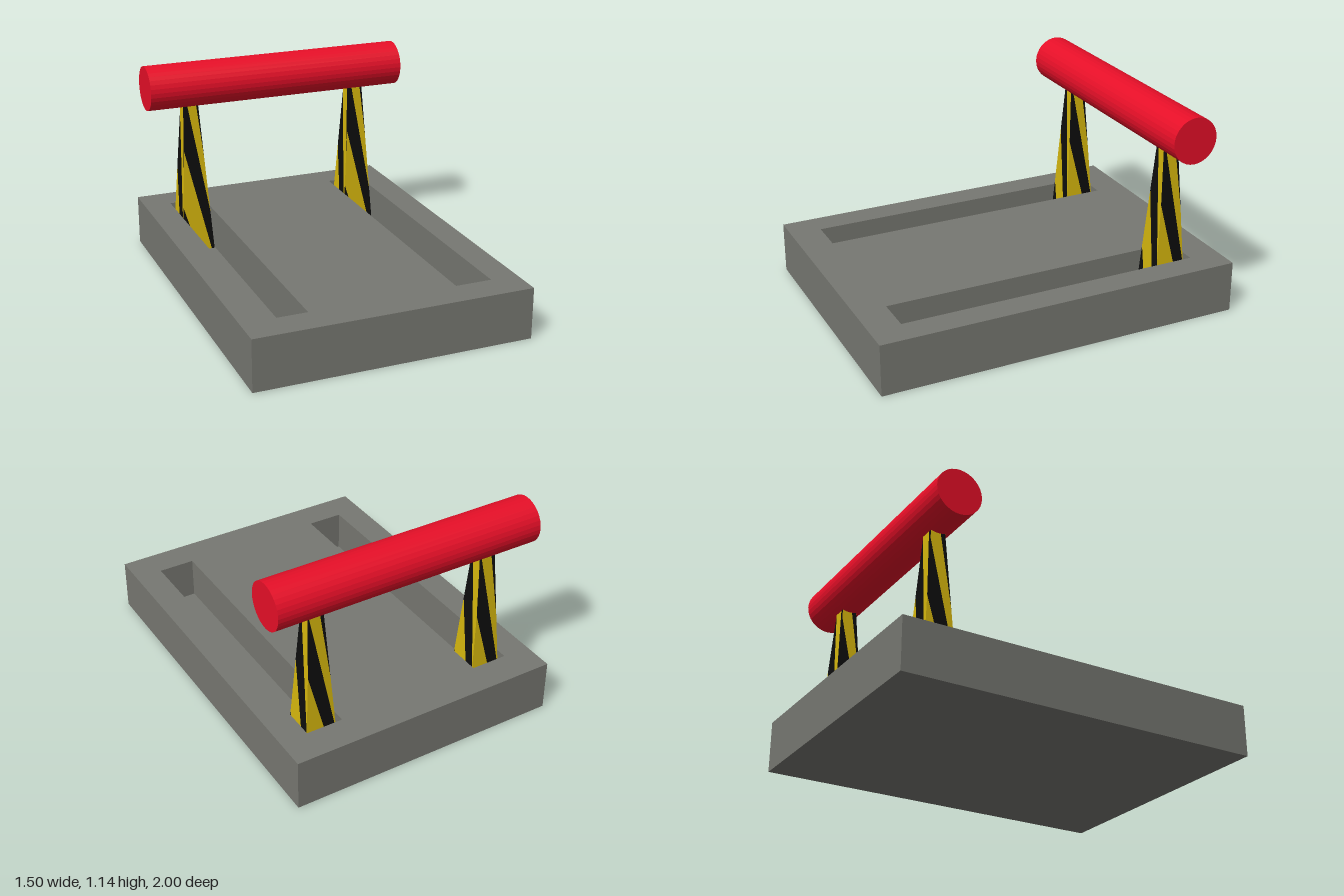
import * as THREE from 'three';

const material = (name, color) => Object.assign(new THREE.MeshStandardMaterial({ color }), { name });

const FLOOR = 0.05, TOP = 0.28, LEG_TOP = 0.96, BAR_Z = -0.715;

function addMesh(parent, name, geometry, mat) {
  const mesh = new THREE.Mesh(geometry, mat);
  mesh.name = name;
  parent.add(mesh);
  return mesh;
}

function rectangle(Type, x0, y0, x1, y1) {
  const path = new Type();
  path.moveTo(x0, y0).lineTo(x1, y0).lineTo(x1, y1).lineTo(x0, y1).closePath();
  return path;
}

// Half width of the tapered square leg at height y
const halfWidth = y => 0.08 - 0.0645 * (y - TOP);

// Cut a polygon of [x, y] corners at a height, keeping one side
function clip(points, height, keepAbove) {
  const inside = p => (keepAbove ? p[1] >= height : p[1] <= height);
  const out = [];
  points.forEach((a, i) => {
    const b = points[(i + 1) % points.length];
    if (inside(a)) out.push(a);
    if (inside(a) !== inside(b)) {
      const t = (height - a[1]) / (b[1] - a[1]);
      out.push([a[0] + (b[0] - a[0]) * t, height]);
    }
  });
  return out;
}

// All bands of one colour, winding around the four sloping faces of a leg
function stripeGeometry(parity) {
  const step = 0.33, rise = 0.7, positions = [];
  const up = new THREE.Vector3(0, 1, 0);
  for (let face = 0; face < 4; face++) {
    for (let k = -4; k < 6; k++) {
      if (Math.abs(k % 2) !== parity) continue;
      const left = 0.645 - 0.04 * face + k * step;
      const right = left - rise;
      const corner = (side, y) => [side * halfWidth(y), y];
      let band = [corner(-1, left), corner(1, right), corner(1, right + step), corner(-1, left + step)];
      band = clip(clip(band, FLOOR, true), LEG_TOP, false);
      const points = band.map(([x, y]) =>
        new THREE.Vector3(x, y, halfWidth(y)).applyAxisAngle(up, face * Math.PI / 2));
      for (let i = 1; i < points.length - 1; i++) {
        for (const p of [points[0], points[i], points[i + 1]]) positions.push(p.x, p.y, p.z);
      }
    }
  }
  const geometry = new THREE.BufferGeometry();
  geometry.setAttribute('position', new THREE.Float32BufferAttribute(positions, 3));
  geometry.computeVertexNormals();
  return geometry;
}

export function createModel() {
  const model = new THREE.Group();
  model.name = 'slottedBaseWithBar';
  const grey = material('baseGrey', 0x777872);
  const red = material('barRed', 0xe80f28);
  const yellow = material('stripeYellow', 0xd4b50d);
  const black = material('stripeBlack', 0x0d0d0d);

  // Base: a plate with two long slots over a closed floor
  const base = new THREE.Group();
  base.name = 'base';
  model.add(base);
  const outline = rectangle(THREE.Shape, -0.75, -1, 0.75, 1);
  for (const x of [-0.5, 0.5]) outline.holes.push(rectangle(THREE.Path, x - 0.1, -0.83, x + 0.1, 0.83));
  const plate = new THREE.ExtrudeGeometry(outline, { depth: TOP - FLOOR, bevelEnabled: false });
  plate.rotateX(-Math.PI / 2).translate(0, FLOOR, 0);
  addMesh(base, 'slottedPlate', plate, grey);
  addMesh(base, 'baseFloor', new THREE.BoxGeometry(1.5, FLOOR, 2).translate(0, FLOOR / 2, 0), grey);

  // Tapered striped legs standing in the slots
  const yellowBands = stripeGeometry(1), blackBands = stripeGeometry(0);
  for (const [name, x] of [['leftLeg', 0.5], ['rightLeg', -0.5]]) {
    const leg = new THREE.Group();
    leg.name = name;
    leg.position.set(x, 0, BAR_Z);
    addMesh(leg, 'yellowStripes', yellowBands, yellow);
    addMesh(leg, 'blackStripes', blackBands, black);
    model.add(leg);
  }

  // Round faceted crossbar
  const bar = new THREE.CylinderGeometry(0.125, 0.125, 1.5, 32).toNonIndexed();
  bar.computeVertexNormals();
  bar.rotateZ(Math.PI / 2).translate(0, 1.02, BAR_Z);
  addMesh(model, 'crossbar', bar, red);

  return model;
}
